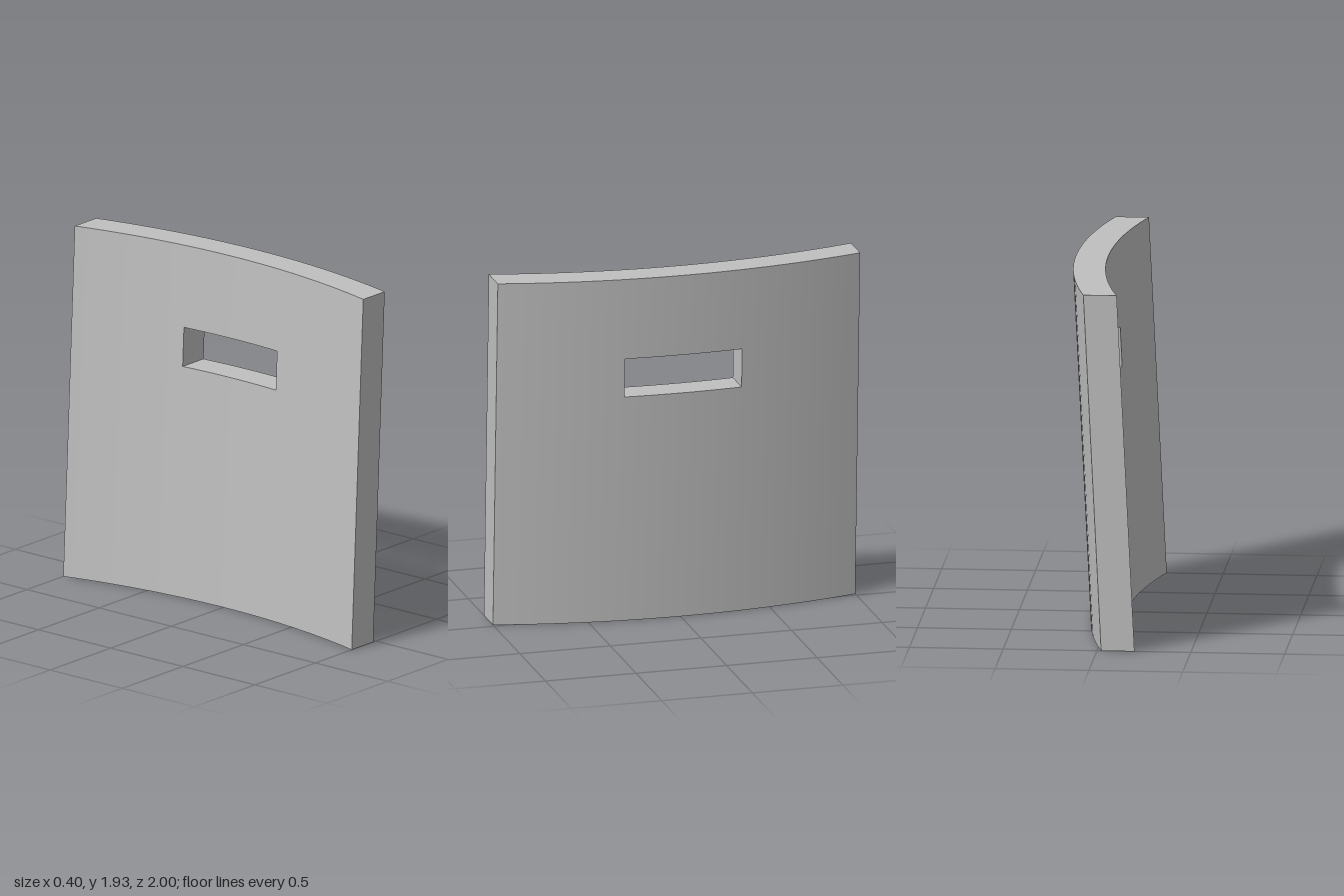
import * as THREE from 'three';
import { toCreasedNormals } from 'three/addons/utils/BufferGeometryUtils.js';

const OUTER = 4.06, INNER = 3.888; // radii of the two curved faces
const CENTRE = 0.103 - OUTER;      // x of their shared axis at ground level
const LEAN = 0.0492;               // sideways shift per unit of height
const ROWS = [0, 1.265, 1.48, 1.93];
const SLOT = 0.323, SEG = 10;

// Curved, leaning slab with a rectangular slot through it
function panelGeometry() {
  const cuts = [-1, -SLOT, SLOT, 1];
  const zs = [-1];
  for (let k = 0; k < 3; k++) {
    for (let s = 1; s <= SEG; s++) zs.push(THREE.MathUtils.lerp(cuts[k], cuts[k + 1], s / SEG));
  }
  const cols = zs.length - 1;
  const solid = (i, j) => i >= 0 && i < cols && j >= 0 && j < 3 && !(j === 1 && i >= SEG && i < 2 * SEG);
  const point = (r, z, y) => [CENTRE + Math.sqrt(r * r - z * z) + LEAN * y, y, z];
  const pos = [];
  const quad = (a, b, c, d) => pos.push(...a, ...b, ...c, ...a, ...c, ...d);

  for (let i = 0; i < cols; i++) {
    for (let j = 0; j < 3; j++) {
      if (!solid(i, j)) continue;
      const [z0, z1, y0, y1] = [zs[i], zs[i + 1], ROWS[j], ROWS[j + 1]];
      const O = (z, y) => point(OUTER, z, y);
      const I = (z, y) => point(INNER, z, y);
      // convex and concave faces
      quad(O(z1, y0), O(z0, y0), O(z0, y1), O(z1, y1));
      quad(I(z0, y0), I(z1, y0), I(z1, y1), I(z0, y1));
      // rim and slot walls wherever the neighbouring cell is empty
      if (!solid(i + 1, j)) quad(I(z1, y0), O(z1, y0), O(z1, y1), I(z1, y1));
      if (!solid(i - 1, j)) quad(O(z0, y0), I(z0, y0), I(z0, y1), O(z0, y1));
      if (!solid(i, j + 1)) quad(I(z1, y1), O(z1, y1), O(z0, y1), I(z0, y1));
      if (!solid(i, j - 1)) quad(I(z0, y0), O(z0, y0), O(z1, y0), I(z1, y0));
    }
  }
  const geo = new THREE.BufferGeometry();
  geo.setAttribute('position', new THREE.Float32BufferAttribute(pos, 3));
  return toCreasedNormals(geo, 0.5);
}

export function createModel() {
  const grey = new THREE.MeshStandardMaterial({ color: 0xbfbfbf });
  grey.name = 'light grey';
  const panel = new THREE.Mesh(panelGeometry(), grey);
  panel.name = 'curvedPanel';
  const group = new THREE.Group();
  group.name = 'slottedBackrest';
  group.add(panel);
  return group;
}
